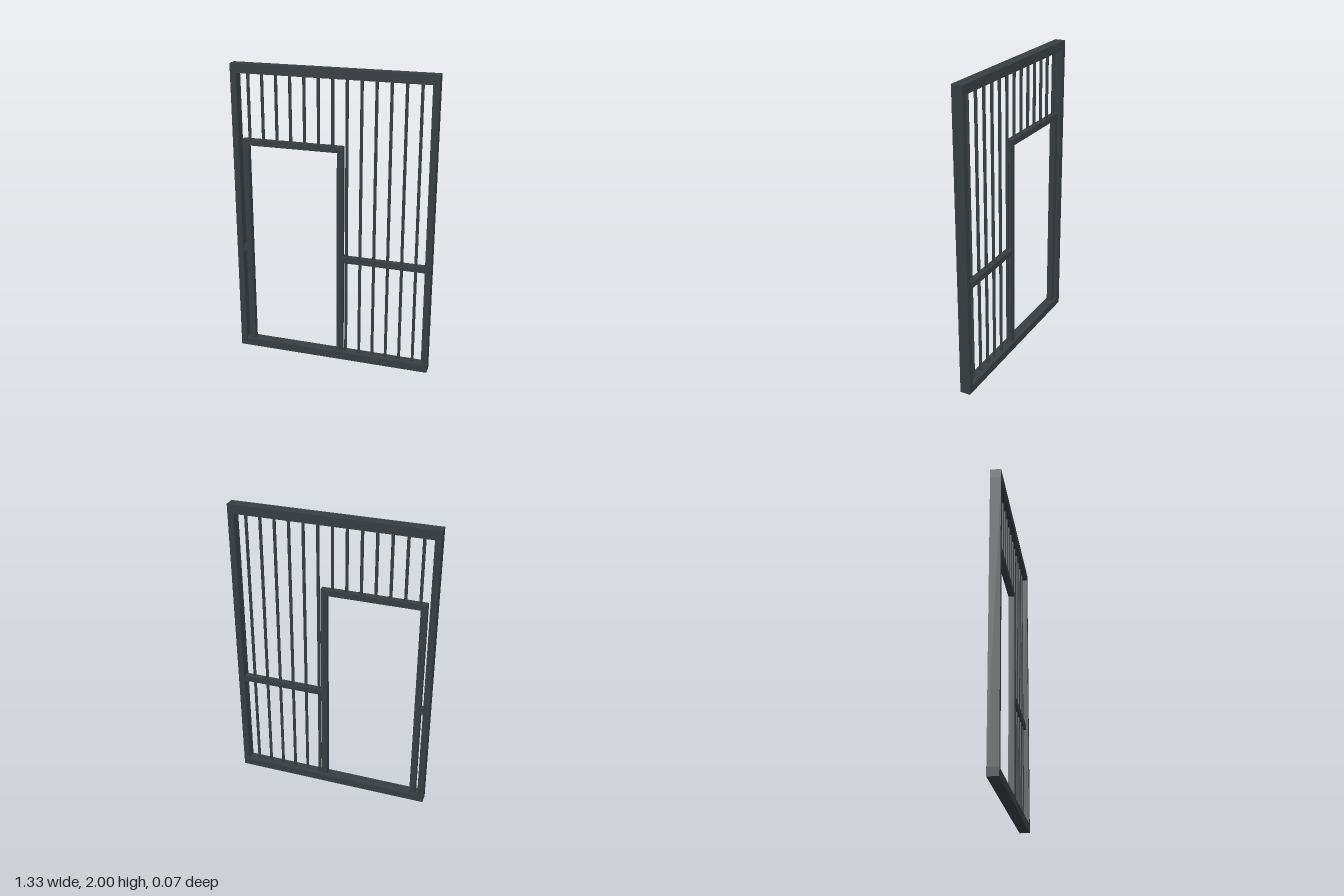
import * as THREE from 'three';

export function createModel() {
  const model = new THREE.Group();
  model.name = 'barredDoorScreen';
  const steel = new THREE.MeshStandardMaterial({ color: 0x383e42 });
  steel.name = 'anthracite steel';

  // Box given by its x and y limits, centred on z = 0
  function beam(name, x0, x1, y0, y1, depth) {
    const mesh = new THREE.Mesh(new THREE.BoxGeometry(x1 - x0, y1 - y0, depth), steel);
    mesh.position.set((x0 + x1) / 2, (y0 + y1) / 2, 0);
    mesh.name = name;
    model.add(mesh);
  }

  // Outer frame
  const W = 0.667, inner = 0.627, sill = 0.053, head = 1.94, D = 0.07;
  beam('bottomRail', -W, W, 0, sill, D);
  beam('topRail', -W, W, head, 2, D);
  beam('rightStile', -W, -inner, sill, head, D);
  beam('leftStile', inner, W, sill, head, D);

  // Door frame
  const doorR = -0.607, doorL = 0.073, t = 0.04, doorTop = 1.51;
  beam('doorHeader', doorR, doorL, doorTop - t, doorTop, t);
  beam('doorRightPost', doorR, doorR + t, sill, doorTop - t, t);
  beam('doorLeftPost', doorL - t, doorL, sill, doorTop - t, t);

  // Middle rail on both sides of the door
  beam('middleRail', doorL, inner, 0.72, 0.76, t);
  beam('middleRailStub', -inner, doorR, 0.72, 0.76, t);

  // Round vertical bars: short above the door, full height beside it
  for (let i = -6; i <= 6; i++) {
    const x = i * 0.0935;
    const y0 = x < doorL ? doorTop : sill;
    const bar = new THREE.Mesh(new THREE.CylinderGeometry(0.01, 0.01, head - y0, 16, 1, true), steel);
    bar.position.set(x, (head + y0) / 2, 0);
    bar.name = 'verticalBar';
    model.add(bar);
  }
  return model;
}
